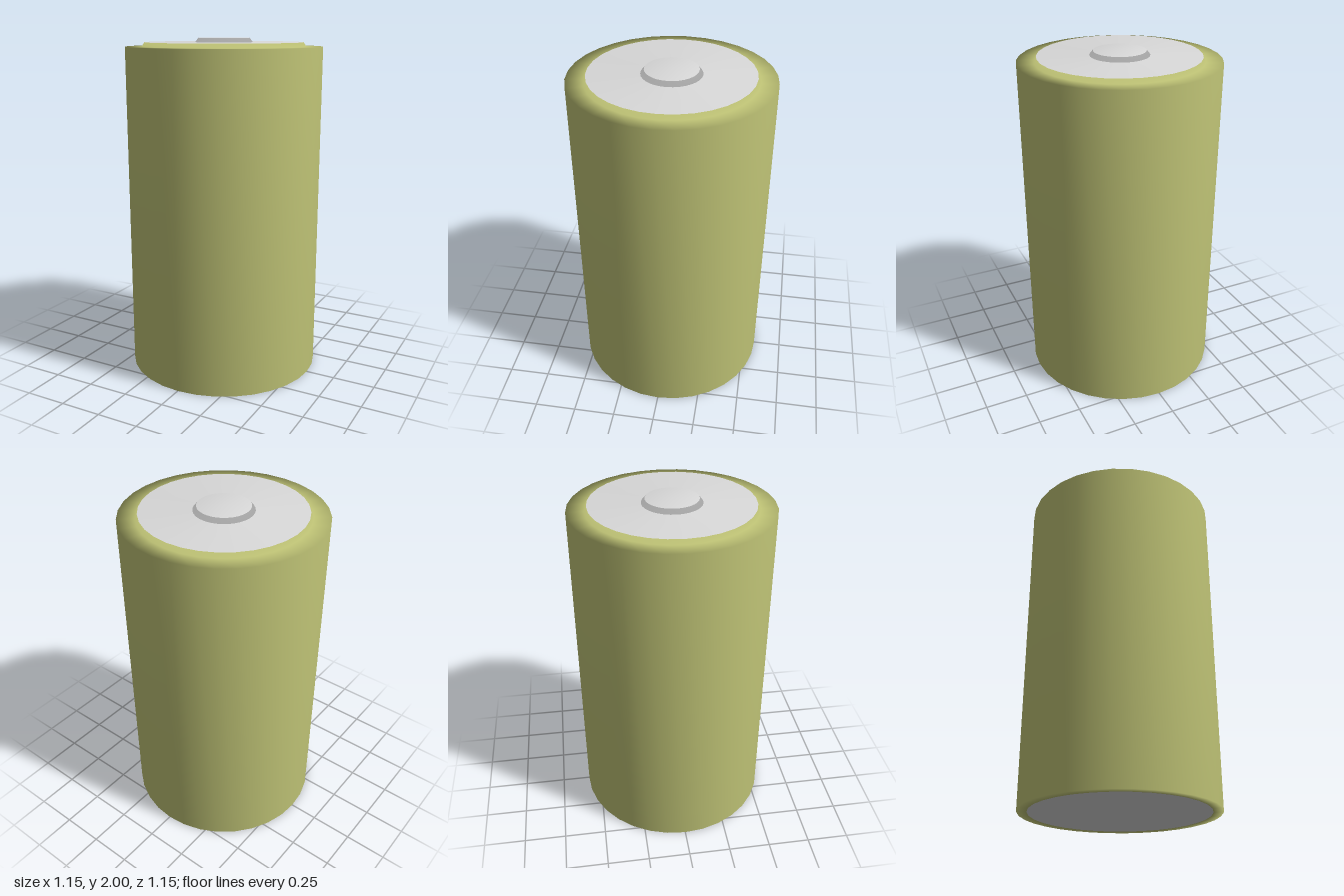
import * as THREE from 'three';

const SIDES = 32;

// Full outline from the centre of the base, up the side, to the centre of the tip
const PROFILE = [
  [0, 0], [0.52, 0], [0.577, 0], [0.577, 1.95], [0.48, 1.95],
  [0.465, 1.975], [0.17, 1.975], [0.15, 2], [0, 2],
].map(([r, y]) => new THREE.Vector2(r, y));

// Turns the whole outline, so normals flow across parts, and keeps only the bands first..last-1
function band(name, material, first, last) {
  const geometry = new THREE.LatheGeometry(PROFILE, SIDES);
  const all = geometry.index.array;
  const bands = PROFILE.length - 1;
  const kept = [];
  for (let i = 0; i < SIDES; i++) {
    for (let j = first; j < last; j++) {
      const start = (i * bands + j) * 6;
      kept.push(...all.slice(start, start + 6));
    }
  }
  geometry.setIndex(kept);
  const mesh = new THREE.Mesh(geometry, material);
  mesh.name = name;
  return mesh;
}

export function createModel() {
  const olive = new THREE.MeshStandardMaterial({ color: 0xbec275 });
  olive.name = 'olive';
  const silver = new THREE.MeshStandardMaterial({ color: 0xd9d9d9 });
  silver.name = 'silver';
  const grey = new THREE.MeshStandardMaterial({ color: 0xa6a6a6 });
  grey.name = 'grey';

  const battery = new THREE.Group();
  battery.name = 'battery';
  battery.add(
    band('baseContact', silver, 0, 1),
    band('casing', olive, 1, 5), // base rim, wall, shoulder and raised lip
    band('topPlate', silver, 5, 6),
    band('terminalSide', grey, 6, 7),
    band('terminalTip', silver, 7, 8),
  );
  return battery;
}
